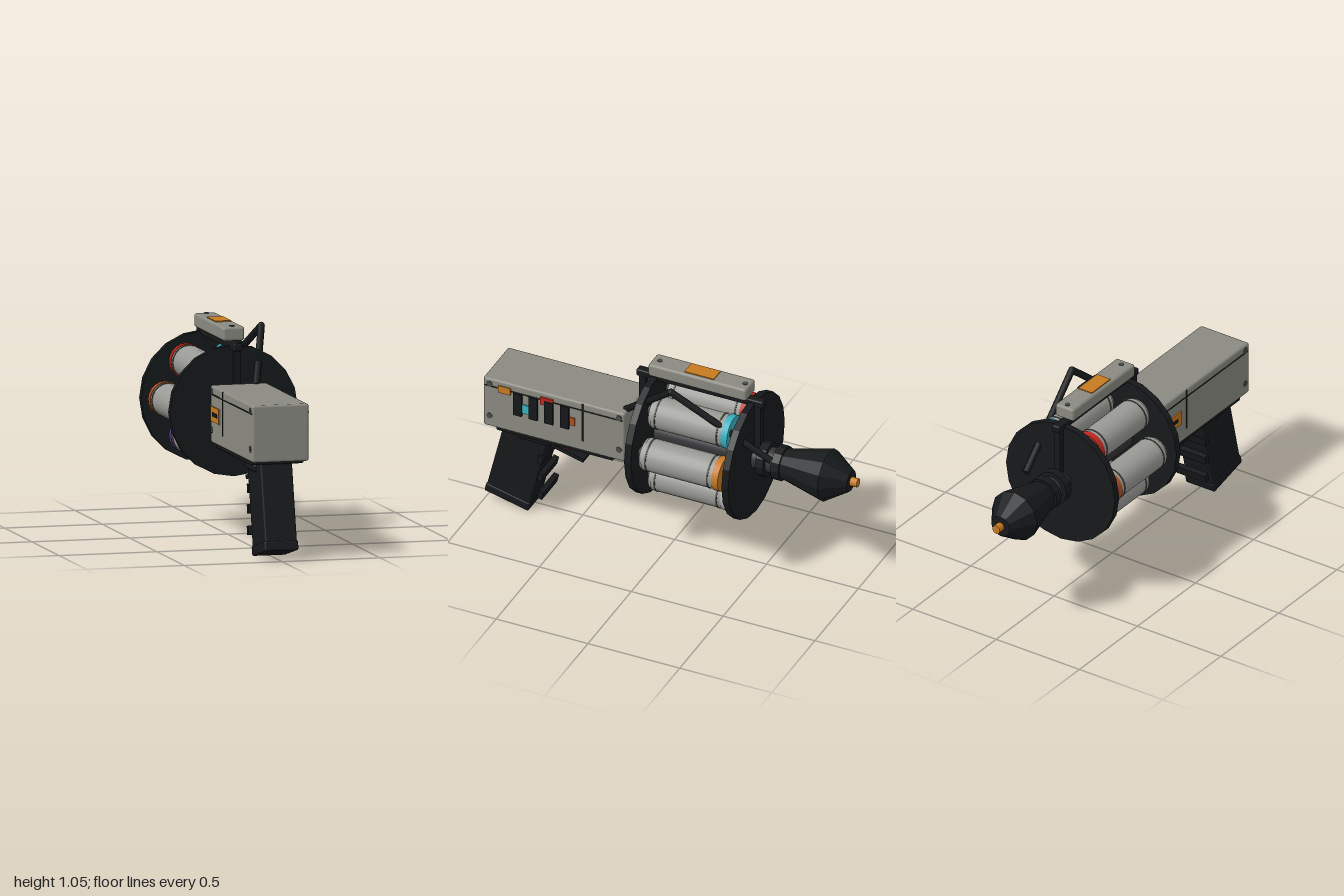
import * as THREE from 'three';
import { RoundedBoxGeometry } from 'three/addons/geometries/RoundedBoxGeometry.js';

const AXIS_Y = 0.64; // height of the barrel axis

const mat = (color, flatShading = false) => new THREE.MeshStandardMaterial({ color, flatShading });
const M = {
  shell: mat(0x8a8a82), can: mat(0x9a9a96), black: mat(0x16181a), blackFlat: mat(0x16191b, true),
  metal: mat(0x333336), seam: mat(0x1c1c1c), screw: mat(0x4a4a48), orange: mat(0xc87a20),
  red: mat(0xc02820), cyan: mat(0x38b0c0), rust: mat(0xb05020), purple: mat(0x5a3a90), pale: mat(0xb8b8b8),
};

export function createModel() {
  const root = new THREE.Group();
  root.name = 'launcher';

  const add = (name, geo, material, x, y, z, rx = 0, parent = root) => {
    const m = new THREE.Mesh(geo, material);
    m.name = name;
    m.position.set(x, y, z);
    m.rotation.x = rx;
    parent.add(m);
    return m;
  };
  // Boxes given by size; r > 0 rounds the edges
  const box = (name, material, w, h, d, x, y, z, r = 0, rx = 0, parent = root) =>
    add(name, r ? new RoundedBoxGeometry(w, h, d, 2, r) : new THREE.BoxGeometry(w, h, d), material, x, y, z, rx, parent);
  // Cylinder along z between z0 and z1
  const rod = (name, material, r, z0, z1, sides = 20, x = 0, y = AXIS_Y, parent = root) =>
    add(name, new THREE.CylinderGeometry(r, r, Math.abs(z1 - z0), sides), material, x, y, (z0 + z1) / 2, -Math.PI / 2, parent);
  // Lathe along the z axis, profile as [radius, -z]
  const lathe = (name, material, pts, sides, x, y, parent = root) =>
    add(name, new THREE.LatheGeometry(pts.map(p => new THREE.Vector2(...p)), sides), material, x, y, 0, -Math.PI / 2, parent);

  // Receiver
  box('receiver', M.shell, 0.29, 0.285, 0.77, 0, 0.6425, 0.59, 0.012);
  box('receiverUnderside', M.black, 0.275, 0.07, 0.64, 0, 0.515, 0.59, 0.01);
  for (const s of [-1, 1]) {
    box('lengthSeam', M.seam, 0.004, 0.007, 0.75, s * 0.145, 0.742, 0.59);
    box('crossSeam', M.seam, 0.004, 0.22, 0.008, s * 0.145, 0.67, 0.433);
    for (const z of [0.94, 0.235]) for (const y of [0.755, 0.565]) {
      const screw = add('sideScrew', new THREE.CylinderGeometry(0.016, 0.016, 0.006, 10), M.screw, s * 0.145, y, z);
      screw.rotation.z = Math.PI / 2;
    }
  }
  // Vents and coloured tabs on the left side
  for (const z of [0.783, 0.698, 0.613, 0.527]) box('vent', M.black, 0.026, 0.13, 0.046, 0.145, 0.68, z);
  box('orangeTab', M.orange, 0.012, 0.04, 0.066, 0.145, 0.74, 0.857);
  box('redTab', M.red, 0.02, 0.042, 0.07, 0.145, 0.74, 0.625);
  box('cyanTab', M.cyan, 0.014, 0.05, 0.04, 0.145, 0.66, 0.74);
  box('rustTab', M.rust, 0.012, 0.045, 0.028, 0.145, 0.662, 0.488);
  // Warning plate on the right side
  box('warningPlate', M.orange, 0.012, 0.075, 0.15, -0.146, 0.648, 0.31);
  box('warningMark', M.black, 0.014, 0.02, 0.08, -0.147, 0.648, 0.31);

  // Grip, finger ridges and trigger
  const tilt = -0.235;
  const grip = new THREE.Group();
  grip.name = 'grip';
  grip.position.set(0, 0.278, 0.82);
  grip.rotation.x = tilt;
  root.add(grip);
  box('gripBody', M.black, 0.165, 0.49, 0.24, 0, 0.005, 0, 0.01, 0, grip);
  box('gripBase', M.black, 0.175, 0.05, 0.247, 0, -0.225, 0, 0.01, 0, grip);
  for (const y of [0.335, 0.232, 0.125]) box('fingerRidge', M.black, 0.178, 0.045, 0.028, 0, y, 0.69, 0, tilt);
  box('gripCollar', M.black, 0.185, 0.04, 0.19, 0, 0.45, 0.725, 0.012);
  box('trigger', M.red, 0.05, 0.12, 0.06, 0, 0.45, 0.595, 0, 0.2);
  box('triggerGuard', M.black, 0.08, 0.02, 0.19, 0, 0.384, 0.57, 0, -0.25);

  // Barrel core and the two drum plates
  rod('core', M.metal, 0.065, 0.22, -0.63);
  for (const z of [0.103, -0.427]) {
    // Plate corner points sideways
    const plate = rod('drumPlate', M.blackFlat, 0.327, z + 0.018, z - 0.018, 20);
    plate.rotation.x = -Math.PI / 2;
  }

  // Six canisters around the core, each with its own coloured ring
  const rings = [M.orange, M.cyan, M.red, M.rust, M.purple, M.pale];
  rings.forEach((ring, i) => {
    const a = i * Math.PI / 3;
    const x = 0.213 * Math.cos(a), y = AXIS_Y + 0.213 * Math.sin(a);
    const can = new THREE.Group();
    can.name = 'canister';
    root.add(can);
    rod('canisterBody', M.can, 0.084, 0.045, -0.345, 20, x, y, can);
    rod('canisterRear', M.can, 0.078, 0.058, 0.045, 20, x, y, can);
    rod('canisterRing', ring, 0.088, -0.34, -0.375, 20, x, y, can);
    rod('canisterPin', M.metal, 0.03, 0.09, -0.415, 10, x, y, can);
    for (const z of [0.022, -0.315]) rod('canisterBand', M.screw, 0.0865, z + 0.004, z - 0.004, 20, x, y, can);
  });

  // Nose: collars, tapered cone and tip
  for (const z of [-0.5, -0.583]) rod('noseCollar', M.blackFlat, 0.09, z + 0.022, z - 0.022, 12);
  lathe('noseCone', M.blackFlat, [[0, 0.605], [0.078, 0.605], [0.135, 0.84], [0.055, 0.962], [0, 0.962]], 12, 0, AXIS_Y);
  rod('noseTip', M.orange, 0.023, -0.95, -1, 10);

  // Top rail with its support frame
  box('topRail', M.shell, 0.112, 0.07, 0.535, 0, 1.02, -0.147, 0.014);
  box('railPlate', M.orange, 0.08, 0.012, 0.16, 0, 1.054, -0.152);
  for (const z of [0.08, -0.385]) add('railScrew', new THREE.CylinderGeometry(0.014, 0.014, 0.006, 10), M.screw, 0, 1.055, z);
  box('frameBar', M.black, 0.045, 0.038, 0.69, 0, 0.963, -0.145, 0.008);
  for (const z of [0.168, -0.458]) box('frameLeg', M.black, 0.038, 0.33, 0.035, 0, 0.8, z);

  // Bent pipe on the left side
  const bend = [[0.085, 0.775, 0.225], [0.193, 1.03, -0.07], [0.115, 0.72, -0.58]].map(p => new THREE.Vector3(...p));
  for (let i = 0; i < 2; i++) {
    const dir = bend[i + 1].clone().sub(bend[i]);
    const mid = bend[i].clone().addScaledVector(dir, 0.5);
    const pipe = add('bentPipe', new THREE.CylinderGeometry(0.018, 0.018, dir.length(), 8), M.black, mid.x, mid.y, mid.z);
    pipe.quaternion.setFromUnitVectors(new THREE.Vector3(0, 1, 0), dir.normalize());
  }
  add('pipeElbow', new THREE.SphereGeometry(0.018, 8, 6), M.black, ...bend[1].toArray());

  return root;
}
